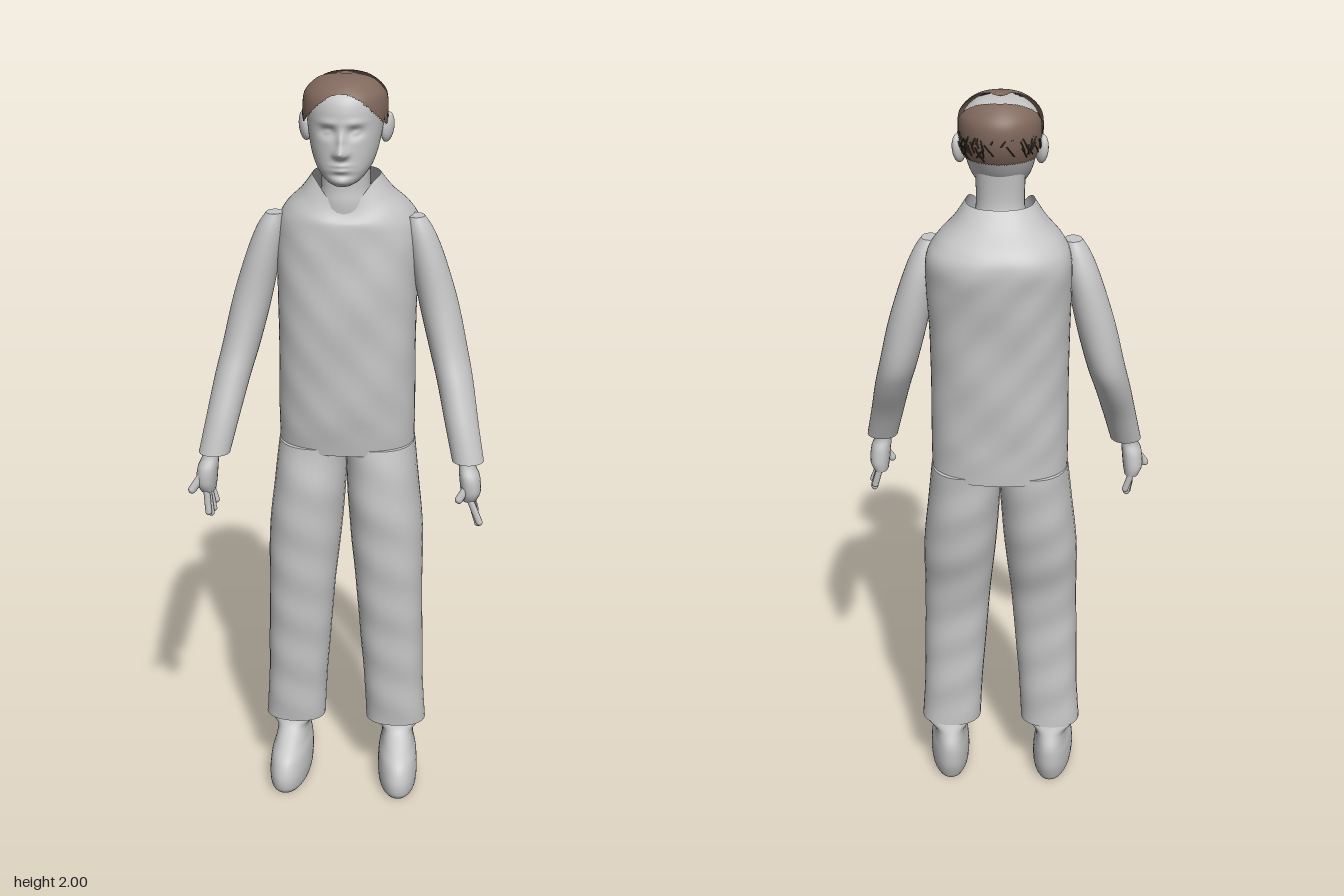
import * as THREE from 'three';

// Catmull-Rom resampling of cross-section rows [y, xMin, xMax, zMin, zMax]
function smoothRows(rows, sub) {
  const out = [];
  const at = (i) => rows[Math.min(Math.max(i, 0), rows.length - 1)];
  for (let i = 0; i < rows.length - 1; i++) {
    for (let k = 0; k < sub; k++) {
      const t = k / sub;
      out.push(rows[i].map((b, c) => {
        const a = at(i - 1)[c], d = at(i + 1)[c], e = at(i + 2)[c];
        return b + 0.5 * t * (d - a + t * (2 * a - 5 * b + 4 * d - e + t * (3 * (b - d) + e - a)));
      }));
    }
  }
  out.push(rows[rows.length - 1]);
  return out;
}

// Skin a stack of rounded horizontal sections, listed from bottom to top
function loft(rows, { n = 32, sub = 5, e = 0.9, warp, keep, capTop = true, capBottom = true } = {}) {
  const rings = smoothRows(rows, sub), pos = [], idx = [];
  const addRing = ([y, x0, x1, z0, z1]) => {
    for (let j = 0; j < n; j++) {
      const a = (j / n) * Math.PI * 2, c = Math.cos(a), s = Math.sin(a);
      const p = new THREE.Vector3(
        (x0 + x1) / 2 + ((x1 - x0) / 2) * Math.sign(c) * Math.abs(c) ** e, y,
        (z0 + z1) / 2 + ((z1 - z0) / 2) * Math.sign(s) * Math.abs(s) ** e);
      if (warp) warp(p, s);
      pos.push(p.x, p.y, p.z);
    }
  };
  const tri = (a, b, c) => {
    const mid = (k) => (pos[a * 3 + k] + pos[b * 3 + k] + pos[c * 3 + k]) / 3;
    if (!keep || keep(mid(0), mid(1), mid(2))) idx.push(a, b, c);
  };
  rings.forEach(addRing);
  for (let i = 0; i < rings.length - 1; i++) {
    for (let j = 0; j < n; j++) {
      const k = (j + 1) % n, a = i * n + j, b = i * n + k;
      tri(a, a + n, b);
      tri(b, a + n, b + n);
    }
  }
  const cap = (row, top) => {
    const base = pos.length / 3;
    addRing(row);
    pos.push((row[1] + row[2]) / 2, row[0], (row[3] + row[4]) / 2);
    for (let j = 0; j < n; j++) {
      const a = base + j, b = base + (j + 1) % n;
      if (top) tri(base + n, b, a); else tri(base + n, a, b);
    }
  };
  if (capBottom) cap(rings[0], false);
  if (capTop) cap(rings[rings.length - 1], true);
  const g = new THREE.BufferGeometry();
  g.setAttribute('position', new THREE.Float32BufferAttribute(pos, 3));
  g.setIndex(idx);
  g.computeVertexNormals();
  return g;
}

// Mirror section rows for the chosen side, then shift in x
const sided = (rows, s, dx = 0) => rows.map(([y, a, b, z0, z1]) =>
  s > 0 ? [y, a + dx, b + dx, z0, z1] : [y, -b + dx, -a + dx, z0, z1]);

export function createModel() {
  const group = new THREE.Group();
  const mat = (name, color, side = THREE.DoubleSide) => {
    const m = new THREE.MeshStandardMaterial({ color, side });
    m.name = name;
    return m;
  };
  const grey = mat('plain grey', 0xc6c6c6);
  const brown = mat('hair brown', 0x80685c);
  const dark = mat('dark hair strand', 0x46382f);
  const add = (name, geo, material, parent = group) => {
    const m = new THREE.Mesh(geo, material);
    m.name = name;
    parent.add(m);
    return m;
  };
  const CX = 0.01;

  // Shirt: lightly creased body with a collar that dips at the front
  add('shirt', loft([
    [0.995, -0.17, 0.19, -0.148, 0.1], [1.1, -0.171, 0.191, -0.153, 0.115],
    [1.25, -0.17, 0.19, -0.162, 0.122], [1.4, -0.172, 0.192, -0.17, 0.124],
    [1.52, -0.175, 0.198, -0.183, 0.115], [1.6, -0.172, 0.196, -0.191, 0.108],
    [1.645, -0.152, 0.172, -0.175, 0.104], [1.69, -0.11, 0.128, -0.13, 0.095],
    [1.735, -0.078, 0.096, -0.09, 0.084],
  ], {
    n: 64, sub: 8, e: 0.85, capTop: false,
    warp: (p, s) => {
      const fade = THREE.MathUtils.smoothstep(p.y, 1.0, 1.1) * (1 - THREE.MathUtils.smoothstep(p.y, 1.55, 1.65));
      p.z += fade * 0.003 * Math.sin(34 * p.y + 14 * p.x) * Math.sin(38 * p.x + 11 * p.y);
      if (s > 0) p.y -= 0.07 * s ** 4 * THREE.MathUtils.smoothstep(p.y, 1.6, 1.735);
    },
  }), grey);

  // Neck
  add('neck', loft([
    [1.6, -0.08, 0.1, -0.09, 0.085], [1.67, -0.062, 0.082, -0.062, 0.09],
    [1.72, -0.052, 0.072, -0.035, 0.085], [1.82, -0.055, 0.075, -0.04, 0.09],
  ]), grey);

  // Head with brow, eyes, nose, lips and chin raised from the front
  const headRows = [
    [1.733, -0.012, 0.032, 0.09, 0.142], [1.745, -0.034, 0.054, 0.045, 0.158],
    [1.77, -0.056, 0.076, -0.005, 0.163], [1.8, -0.07, 0.09, -0.035, 0.161],
    [1.84, -0.08, 0.1, -0.06, 0.158], [1.88, -0.086, 0.106, -0.078, 0.155],
    [1.92, -0.088, 0.108, -0.083, 0.152], [1.95, -0.082, 0.102, -0.075, 0.14],
    [1.975, -0.06, 0.08, -0.05, 0.112], [1.986, -0.037, 0.057, -0.025, 0.085],
    [1.99, -0.008, 0.028, 0.015, 0.045],
  ];
  const bump = (p, x, y, wx, wy, h) => h * Math.exp(-(((p.x - CX - x) / wx) ** 2) - ((p.y - y) / wy) ** 2);
  add('head', loft(headRows, {
    n: 96, sub: 8, e: 1,
    warp: (p, s) => {
      if (s <= 0.2) return;
      let d = bump(p, 0, 1.822, 0.014, 0.014, 0.028) + bump(p, 0, 1.85, 0.01, 0.024, 0.015);
      d += bump(p, 0, 1.79, 0.024, 0.005, 0.006) + bump(p, 0, 1.778, 0.02, 0.005, 0.006);
      d += bump(p, 0, 1.748, 0.022, 0.012, 0.006) - bump(p, 0, 1.764, 0.03, 0.006, 0.004);
      for (const m of [-1, 1]) {
        d += bump(p, m * 0.013, 1.817, 0.008, 0.007, 0.008) + bump(p, m * 0.034, 1.893, 0.024, 0.008, 0.005);
        d += bump(p, m * 0.035, 1.868, 0.009, 0.006, 0.008) - bump(p, m * 0.033, 1.869, 0.02, 0.013, 0.014);
      }
      p.z += d;
    },
  }), grey);

  for (const s of [1, -1]) {
    const ear = add(s > 0 ? 'leftEar' : 'rightEar', new THREE.SphereGeometry(1, 20, 14), grey);
    ear.scale.set(0.015, 0.038, 0.024);
    ear.position.set(CX + s * 0.104, 1.86, 0.022);
    ear.rotation.set(-0.15, s * -0.4, s * -0.12);
  }

  // Hair: a front patch and a back patch with a bare band between them
  const isHair = (x, y, z) => {
    const dx = Math.abs(x - CX);
    const front = z > 0.042 && y > 1.962 - 8 * dx * dx;
    const back = z < -0.035 + 3.5 * dx * dx && y > 1.845;
    return front || back || Math.hypot(dx, z - 0.042) < 0.024 && y > 1.97;
  };
  add('hair', loft(headRows, {
    n: 96, sub: 8, e: 1, keep: isHair,
    warp: (p) => p.set(CX + (p.x - CX) * 1.1, 1.88 + (p.y - 1.88) * 1.06, 0.035 + (p.z - 0.035) * 1.05),
  }), brown);

  // Fine strands lying over the hair
  let seed = 7;
  const rnd = () => (seed = (seed * 16807) % 2147483647) / 2147483647;
  const strands = new THREE.Group();
  strands.name = 'hairStrands';
  group.add(strands);
  const onSkull = (a, el) => new THREE.Vector3(
    CX + 0.108 * Math.cos(el) * Math.cos(a), 1.894 + 0.103 * Math.sin(el), 0.032 + 0.122 * Math.cos(el) * Math.sin(a));
  for (let i = 0; i < 260; i++) {
    const a = rnd() * Math.PI * 2, el = rnd() * 1.5 - 0.2, turn = (rnd() - 0.5) * 0.5;
    const pts = [0, 1, 2].map((k) => onSkull(a + turn * k * 0.5, el - k * 0.13));
    if (!pts.every((p) => isHair(p.x, p.y, p.z))) continue;
    add('strand', new THREE.TubeGeometry(new THREE.CatmullRomCurve3(pts), 4, 0.0018, 4), dark, strands);
  }

  // Rounded rod between two points, for fingers and thumbs
  const rod = (name, a, b, r, parent) => {
    const va = new THREE.Vector3(...a), d = new THREE.Vector3(...b).sub(va);
    const m = add(name, new THREE.CapsuleGeometry(r, d.length(), 4, 10), grey, parent);
    m.position.copy(va).addScaledVector(d, 0.5);
    m.quaternion.setFromUnitVectors(new THREE.Vector3(0, 1, 0), d.normalize());
  };

  for (const s of [1, -1]) {
    const side = s > 0 ? 'left' : 'right';

    // Sleeve, bent forward at the elbow
    add(side + 'Sleeve', loft(sided([
      [1.01, 0.292, 0.375, 0.09, 0.172], [1.1, 0.27, 0.358, 0.045, 0.148],
      [1.2, 0.245, 0.34, -0.018, 0.112], [1.28, 0.222, 0.322, -0.052, 0.084],
      [1.4, 0.192, 0.295, -0.06, 0.062], [1.52, 0.168, 0.258, -0.056, 0.054],
      [1.59, 0.158, 0.23, -0.04, 0.046], [1.63, 0.16, 0.205, -0.022, 0.034],
    ], s, 0.006), { e: 1 }), grey);

    // Hand with hanging fingers
    const hand = new THREE.Group();
    hand.name = side + 'Hand';
    group.add(hand);
    add('palm', loft(sided([
      [0.905, 0.326, 0.366, 0.094, 0.168], [0.93, 0.322, 0.376, 0.09, 0.18],
      [0.97, 0.318, 0.372, 0.095, 0.18], [1.0, 0.316, 0.36, 0.105, 0.165],
      [1.04, 0.315, 0.36, 0.1, 0.155],
    ], s), { n: 20 }), grey, hand);
    const tipX = s > 0 ? 0.362 : -0.33;
    for (let f = 0; f < 4; f++) {
      const z = 0.104 + f * 0.019, drop = [0.862, 0.845, 0.84, 0.85][f];
      rod('finger', [s * 0.347, 0.915, z], [tipX + s * 0.004 * f, drop, z + 0.004], 0.009, hand);
    }
    const thumbX = s > 0 ? 0.32 : -0.383;
    rod('thumb', [s * 0.35, 0.965, 0.16], [thumbX, 0.915, 0.172], 0.011, hand);

    // Trouser leg
    add(side + 'TrouserLeg', loft(sided([
      [0.178, 0.058, 0.224, -0.06, 0.078], [0.3, 0.052, 0.216, -0.062, 0.086],
      [0.45, 0.04, 0.213, -0.064, 0.096], [0.6, 0.028, 0.21, -0.075, 0.107],
      [0.75, 0.012, 0.209, -0.112, 0.114], [0.88, 0.002, 0.196, -0.132, 0.115],
      [1.01, -0.005, 0.182, -0.14, 0.098],
    ], s, CX), { sub: 8, warp: (p) => { p.z += 0.002 * Math.sin(45 * p.y + 20 * p.x); } }), grey);

    // Shoe, toe turned slightly outward, with a flared ankle
    const shoe = add(side + 'Shoe', loft([
      [0, -0.044, 0.044, -0.066, 0.17], [0.015, -0.052, 0.052, -0.074, 0.182],
      [0.05, -0.055, 0.055, -0.086, 0.183], [0.09, -0.052, 0.052, -0.09, 0.165],
      [0.12, -0.045, 0.045, -0.087, 0.128], [0.15, -0.045, 0.045, -0.073, 0.085],
      [0.172, -0.066, 0.066, -0.062, 0.068], [0.19, -0.072, 0.072, -0.054, 0.064],
    ], { n: 40 }), grey);
    shoe.position.x = CX + s * 0.146;
    shoe.rotation.y = s * 0.08;
  }

  return group;
}
